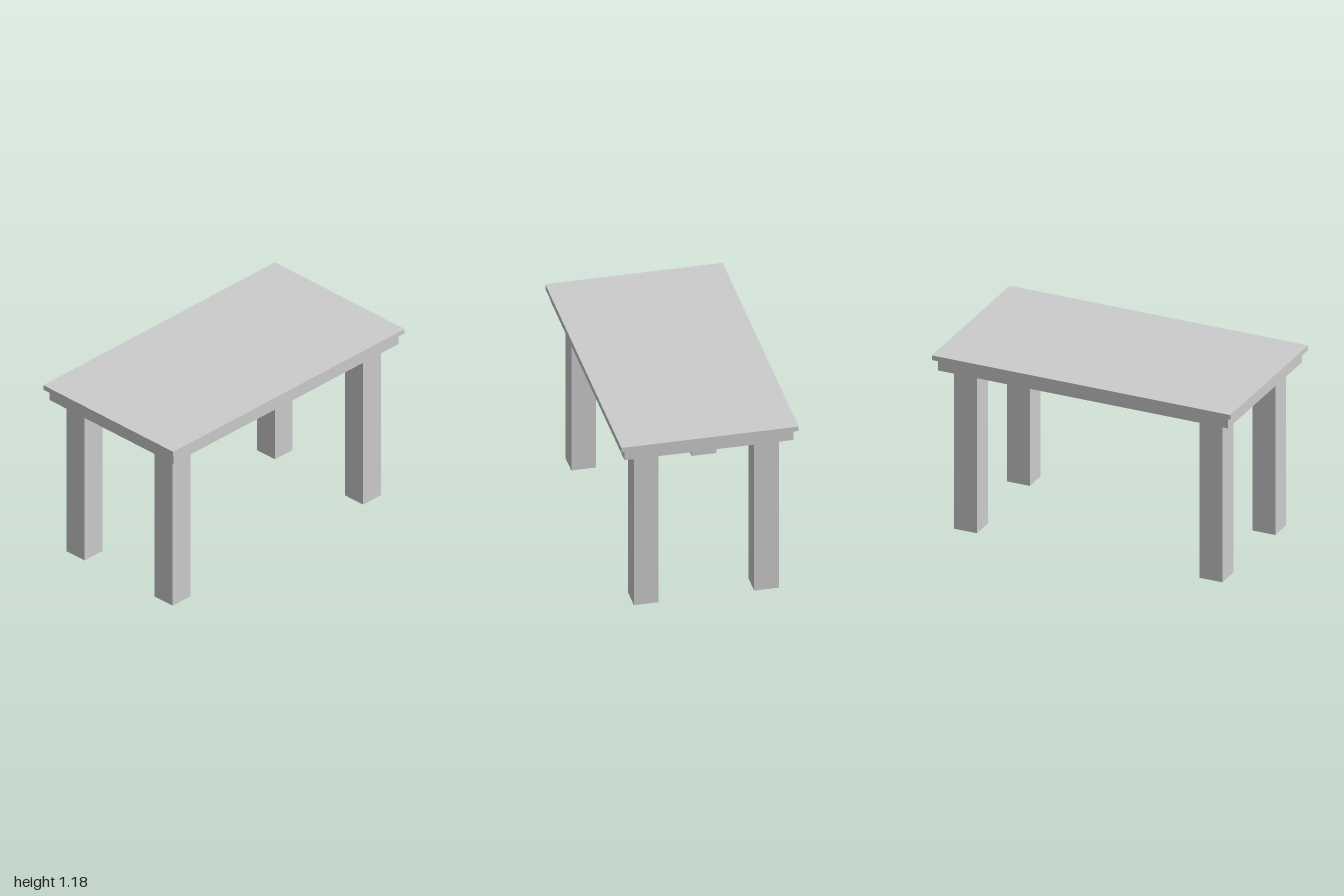
import * as THREE from 'three';

export function createModel() {
  const table = new THREE.Group();
  table.name = 'table';
  const material = new THREE.MeshStandardMaterial({ color: 0xcccccc, flatShading: true });

  // Box placed by its centre in x and z, and by its bottom and top in y
  const addBox = (name, width, depth, bottom, top, x = 0, z = 0) => {
    const mesh = new THREE.Mesh(new THREE.BoxGeometry(width, top - bottom, depth), material);
    mesh.name = name;
    mesh.position.set(x, (bottom + top) / 2, z);
    table.add(mesh);
  };

  // Thin overhanging top on a solid, slightly smaller slab
  addBox('tableTop', 1.104, 2, 1.149, 1.18);
  addBox('apron', 1.052, 1.945, 1.074, 1.149);

  // Four square legs
  for (const [side, x] of [['Left', 0.373], ['Right', -0.376]]) {
    for (const [end, z] of [['front', 0.824], ['back', -0.821]]) {
      addBox(`${end}${side}Leg`, 0.154, 0.153, 0, 1.074, x, z);
    }
  }
  return table;
}
